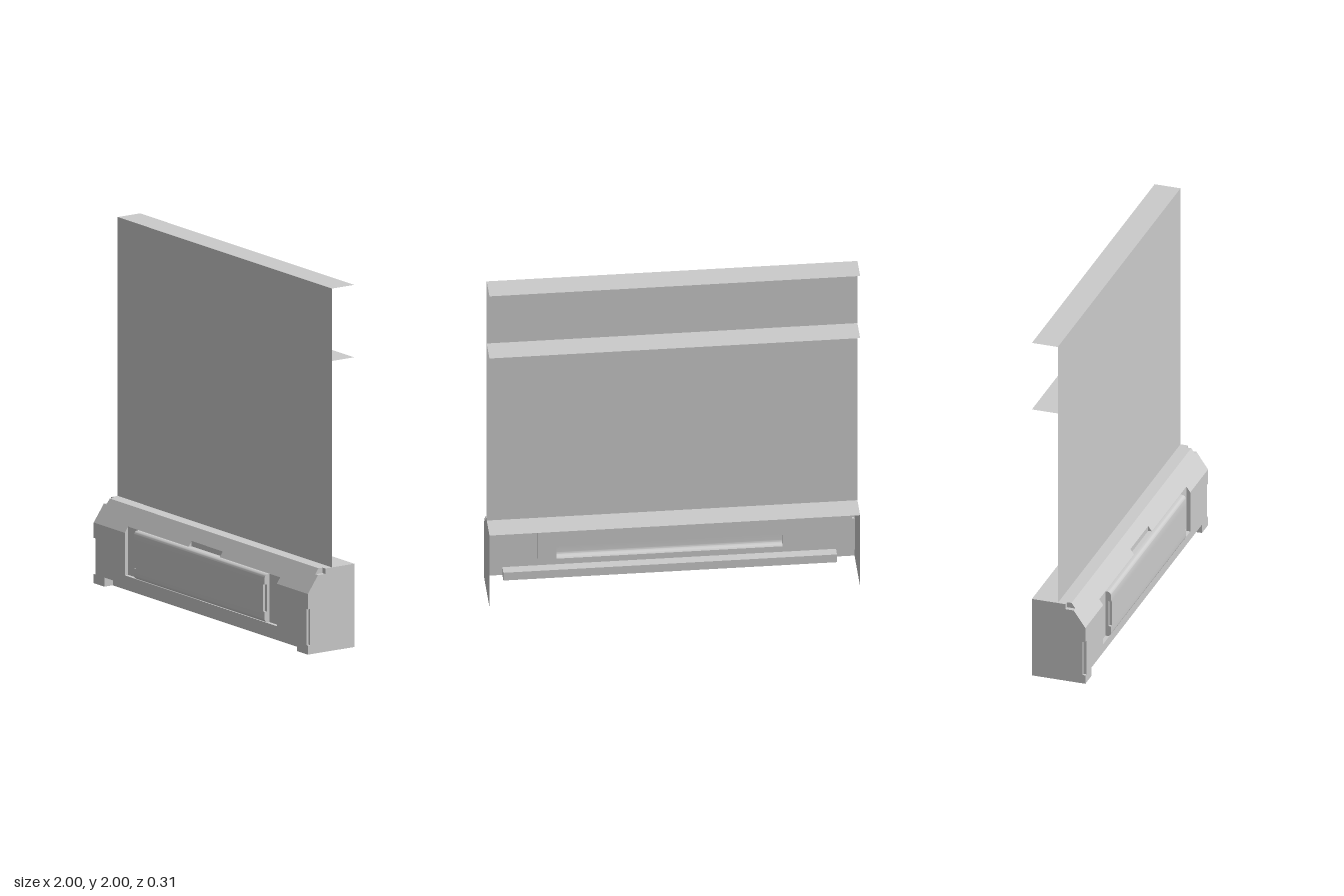
import * as THREE from 'three';
import { toCreasedNormals } from 'three/addons/utils/BufferGeometryUtils.js';

const material = new THREE.MeshStandardMaterial({ color: 0xcccccc, side: THREE.DoubleSide });

// Main depths (z) and heights (y)
const BACK = -0.157, WALL = -0.01, FRONT = 0.147, DOOR = 0.157;
const TOP = 0.46, BEND = 0.335, RIM = 0.06, INSET = 0.125;
const slantZ = y => FRONT + (RIM - FRONT) * (y - BEND) / (TOP - BEND);
const slantY = z => BEND + (TOP - BEND) * (z - FRONT) / (RIM - FRONT);

export function createModel() {
  const model = new THREE.Group();

  const add = (parent, name, geometry) => {
    const mesh = new THREE.Mesh(geometry, material);
    mesh.name = name;
    parent.add(mesh);
  };

  const group = name => {
    const g = new THREE.Group();
    g.name = name;
    model.add(g);
    return g;
  };

  // Thin sheet: a [z, y] profile swept along x
  function strip(parent, name, profile, xa, xb) {
    const x0 = Math.min(xa, xb), x1 = Math.max(xa, xb);
    const pos = [], idx = [];
    profile.forEach(([z, y], i) => {
      pos.push(x0, y, z, x1, y, z);
      if (i) {
        const a = 2 * i - 2;
        idx.push(a, a + 1, a + 3, a, a + 3, a + 2);
      }
    });
    const geo = new THREE.BufferGeometry();
    geo.setAttribute('position', new THREE.Float32BufferAttribute(pos, 3));
    geo.setIndex(idx);
    add(parent, name, toCreasedNormals(geo, 0.6));
  }

  // Flat outline placed in space by a rule (u, v) -> [x, y, z]
  function sheet(parent, name, outline, place, flip = false) {
    const geo = new THREE.ShapeGeometry(new THREE.Shape(outline.map(p => new THREE.Vector2(...p))));
    const pos = geo.attributes.position;
    for (let i = 0; i < pos.count; i++) pos.setXYZ(i, ...place(pos.getX(i), pos.getY(i)));
    if (flip) geo.setIndex(Array.from(geo.index.array).reverse());
    geo.computeVertexNormals();
    add(parent, name, geo);
  }

  // End wall: closed [z, y] outline at one x, facing dir
  const cap = (parent, name, outline, x, dir) =>
    sheet(parent, name, outline, (z, y) => [x, y, z], dir > 0);

  // Outline mirrored across x = 0 from its right half
  const mirrored = half => [...half, ...half.map(([x, y]) => [-x, y]).reverse()];

  // Back panel with two shelves behind it
  const rear = group('backPanel');
  strip(rear, 'panel', [[WALL, TOP], [WALL, 2]], -1, 1);
  for (const y of [1.6, 2]) strip(rear, 'shelf', [[WALL, y], [BACK, y]], -1, 1);

  // Cabinet shell, with cut-outs for the recesses
  const cabinet = group('cabinet');
  sheet(cabinet, 'frontFace', mirrored([
    [0.9, 0.05], [0.9, 0], [1, 0], [1, 0.05], [0.985, 0.05], [0.985, 0.25], [1, 0.25],
    [1, BEND], [0.71, BEND], [0.71, 0.1],
  ]), (x, y) => [x, y, FRONT]);

  const insetTop = slantY(INSET), gripTop = slantY(0.105);
  sheet(cabinet, 'slopedFace', mirrored([
    [0.145, gripTop], [0.145, insetTop], [0.71, insetTop], [0.71, BEND], [1, BEND],
    [1, 0.43], [0.975, 0.43], [0.975, TOP],
  ]), (x, y) => [x, y, slantZ(y)]);

  sheet(cabinet, 'topFace', mirrored([
    [0.975, -RIM], [0.975, -0.033], [1, -0.033], [1, -BACK],
  ]), (x, v) => [x, TOP, -v]);

  for (const s of [-1, 1]) {
    cap(cabinet, 'sideFace', [
      [BACK, 0], [FRONT, 0], [FRONT, 0.05], [0.132, 0.05], [0.132, 0.25], [FRONT, 0.25],
      [FRONT, BEND], [slantZ(0.43), 0.43], [0.033, 0.43], [0.033, TOP], [BACK, TOP],
    ], s, s);

    // Corner notches
    const low = [[FRONT, 0.05], [0.132, 0.05], [0.132, 0.25], [FRONT, 0.25]];
    strip(cabinet, 'lowerNotch', low, s * 0.985, s);
    cap(cabinet, 'lowerNotchWall', low, s * 0.985, s);
    const high = [[slantZ(0.43), 0.43], [0.033, 0.43], [0.033, TOP]];
    strip(cabinet, 'upperNotch', high, s * 0.975, s);
    cap(cabinet, 'upperNotchWall', [...high, [RIM, TOP]], s * 0.975, s);
  }

  // Kick recess at the foot
  const kick = [[0.092, 0], [0.092, 0.05], [FRONT, 0.05]];
  strip(cabinet, 'kickRecess', kick, -0.9, 0.9);

  // Door recess and finger grip above it
  const inset = [[FRONT, 0.1], [INSET, 0.1], [INSET, insetTop]];
  const grip = [[INSET, insetTop], [0.105, insetTop], [0.105, gripTop]];
  strip(cabinet, 'gripRecess', grip, -0.145, 0.145);
  strip(cabinet, 'recessFloor', inset.slice(0, 2), -0.71, 0.71);
  for (const s of [-1, 1]) {
    cap(cabinet, 'kickEnd', [...kick, [FRONT, 0]], s * 0.9, -s);
    cap(cabinet, 'gripEnd', grip, s * 0.145, -s);
    cap(cabinet, 'recessEnd', [...inset, [FRONT, BEND]], s * 0.71, -s);
    strip(cabinet, 'recessBack', inset.slice(1), s * 0.61, s * 0.71);
  }

  // Door: hollow panel with rounded top and bottom edges and notched ends
  const door = group('door');
  const arc = (cy, r, from) => Array.from({ length: 9 }, (_, i) => {
    const a = from + (i / 8) * Math.PI / 2;
    return [DOOR - r + r * Math.cos(a), cy + r * Math.sin(a)];
  });
  const r = 0.022;
  const lower = [[INSET, 0.1], ...arc(0.1 + r, r, -Math.PI / 2), [DOOR, 0.16]];
  const upper = [[DOOR, 0.31], ...arc(insetTop - r, r, 0), [INSET, insetTop]];
  const notch = [[DOOR, 0.16], [0.143, 0.16], [0.143, 0.31], [DOOR, 0.31]];
  strip(door, 'doorLower', lower, -0.61, 0.61);
  strip(door, 'doorMiddle', [[DOOR, 0.16], [DOOR, 0.31]], -0.595, 0.595);
  strip(door, 'doorUpper', upper, -0.61, 0.61);
  for (const s of [-1, 1]) {
    cap(door, 'doorEnd', [...lower, ...notch.slice(1, 3), ...upper], s * 0.61, s);
    strip(door, 'doorNotch', notch, s * 0.595, s * 0.61);
    cap(door, 'doorNotchWall', notch, s * 0.595, s);
  }

  return model;
}
